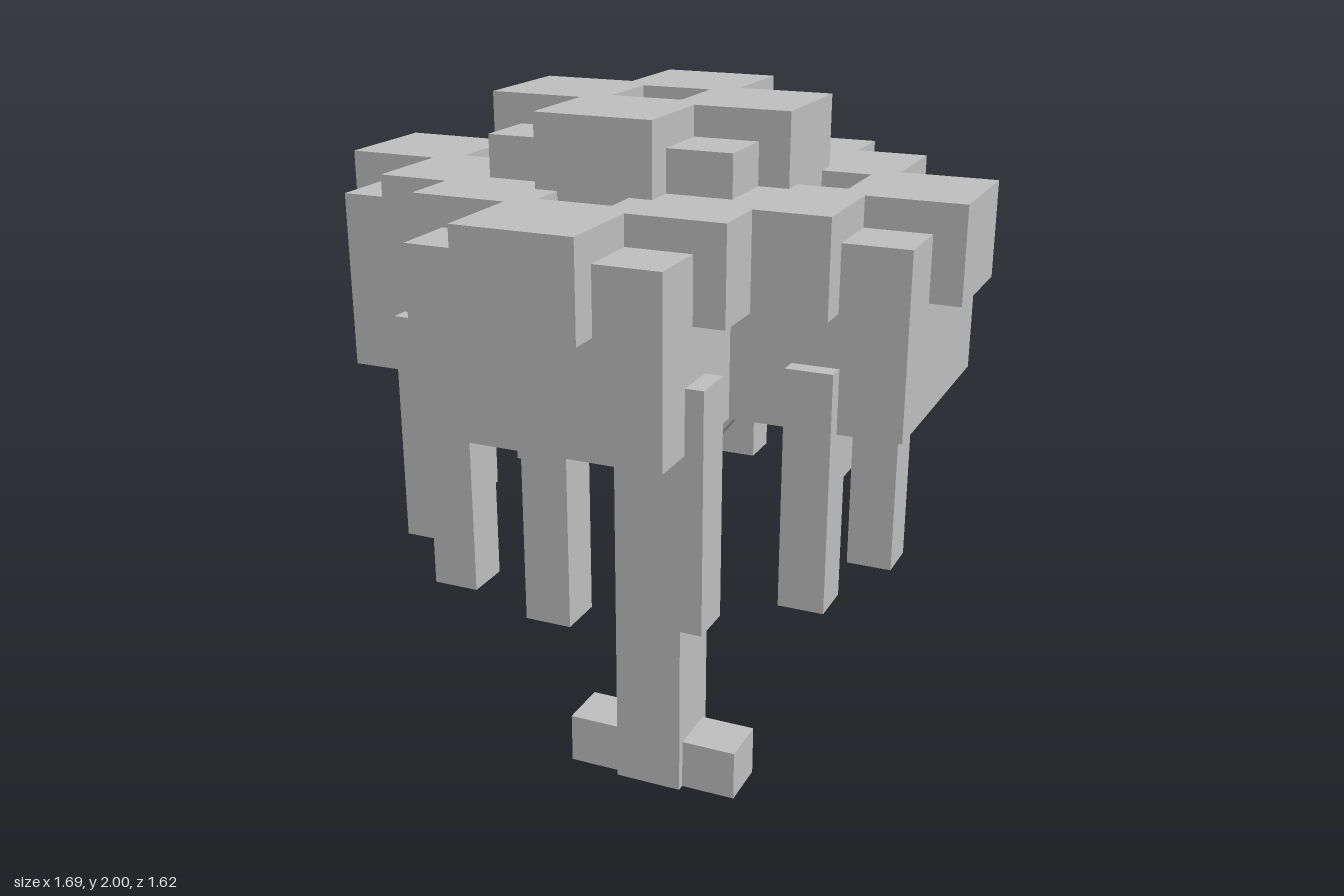
import * as THREE from 'three';

const grey = new THREE.MeshStandardMaterial({ color: 0xc0c0c0 });
grey.name = 'plain grey';

// Box given by its centre in x and z, and by its bottom and top heights
function block(name, w, d, bottom, top, x = 0, z = 0) {
  const mesh = new THREE.Mesh(new THREE.BoxGeometry(w, top - bottom, d), grey);
  mesh.name = name;
  mesh.position.set(x, (bottom + top) / 2, z);
  return mesh;
}

// Cross-shaped slab with a square hole in the middle
function capGeometry() {
  const a = 0.155, b = 0.405, h = 0.095;
  const quarter = [[b, -a], [b, a], [a, a]];
  const points = [];
  for (let i = 0; i < 4; i++) {
    const c = Math.round(Math.cos(i * Math.PI / 2));
    const s = Math.round(Math.sin(i * Math.PI / 2));
    for (const [x, y] of quarter) points.push(new THREE.Vector2(x * c - y * s, x * s + y * c));
  }
  const shape = new THREE.Shape(points);
  shape.holes.push(new THREE.Path([[-h, -h], [-h, h], [h, h], [h, -h]].map(p => new THREE.Vector2(...p))));
  const geometry = new THREE.ExtrudeGeometry(shape, { depth: 0.245, bevelEnabled: false });
  return geometry.rotateX(-Math.PI / 2);
}

export function createModel() {
  const model = new THREE.Group();
  model.name = 'tree';

  // Trunk and the root bar across its foot
  model.add(block('trunk', 0.2, 0.2, 0, 1.25));
  for (const side of [-1, 1]) model.add(block('root', 0.17, 0.155, 0, 0.15, side * 0.177, 0));

  // Four slanting branches
  for (let i = 0; i < 4; i++) {
    const pivot = new THREE.Group();
    pivot.name = 'branch';
    pivot.rotation.y = i * Math.PI / 2;
    const limb = new THREE.Mesh(new THREE.BoxGeometry(0.088, 0.38, 0.09), grey);
    limb.name = 'branchLimb';
    limb.position.set(0.18, 1.17, 0);
    limb.rotation.z = -Math.atan2(0.24, 0.305);
    pivot.add(limb);
    model.add(pivot);
  }

  // Five leaf clusters: a square block with a cross-shaped cap
  const cap = capGeometry();
  const clusters = [[0, 1.455, 0], [0.44, 1.27, 0], [-0.44, 1.27, 0], [0, 1.27, 0.405], [0, 1.27, -0.405]];
  for (const [x, y, z] of clusters) {
    const cluster = new THREE.Group();
    cluster.name = 'leafCluster';
    cluster.position.set(x, y, z);
    cluster.add(block('leafBlock', 0.65, 0.65, 0, 0.468));
    const top = new THREE.Mesh(cap, grey);
    top.name = 'leafCap';
    top.position.y = 0.3;
    cluster.add(top);
    model.add(cluster);
  }

  // Twelve hanging strands in a ring
  const strand = (x, z) => model.add(block('hangingStrand', 0.12, 0.12, 0.81, 1.435, x, z));
  for (const s of [-1, 1]) {
    strand(s * 0.625, 0);
    strand(0, s * 0.628);
    for (const t of [-1, 1]) {
      strand(s * 0.312, t * 0.543);
      strand(s * 0.543, t * 0.312);
    }
  }
  return model;
}
